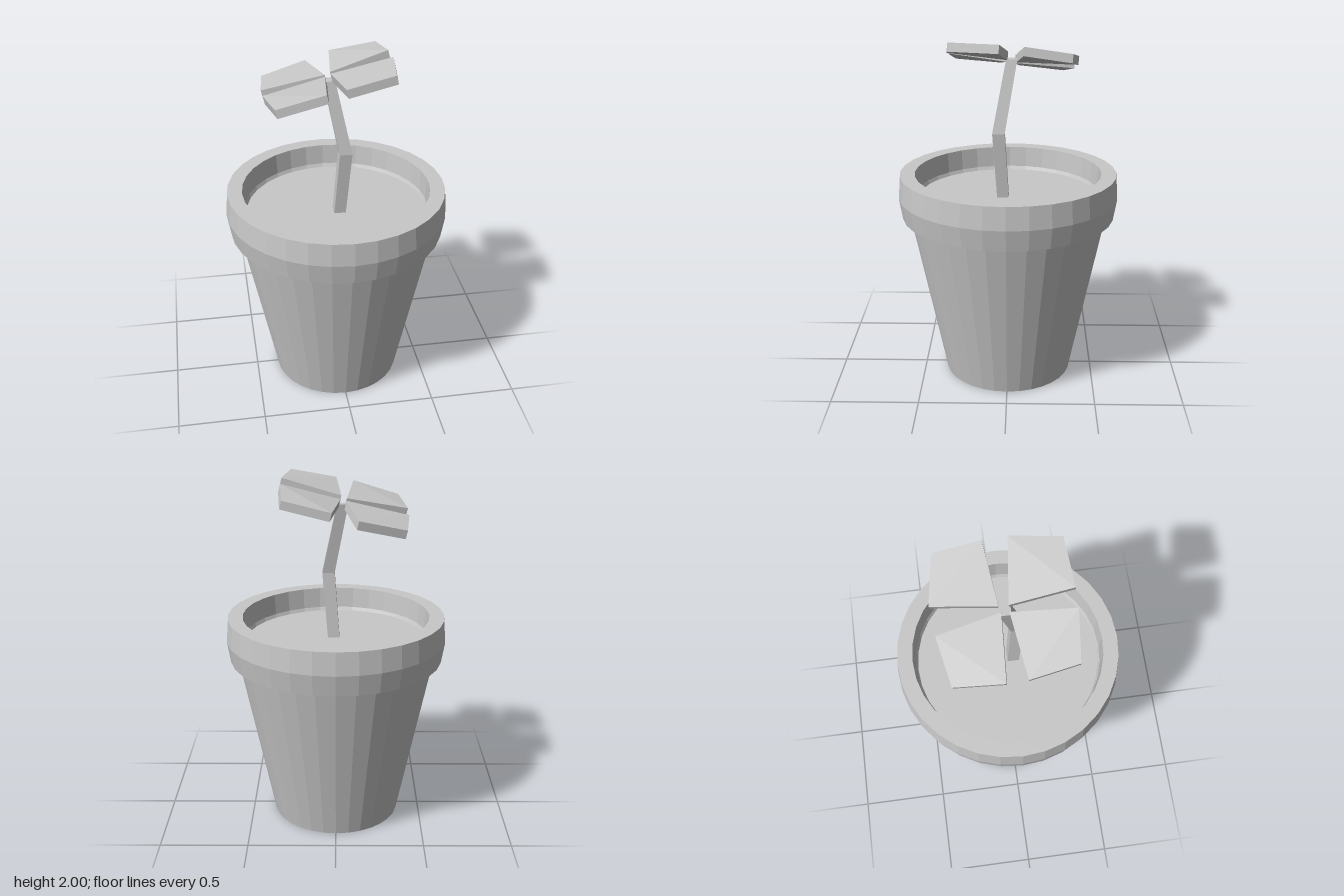
import * as THREE from 'three';
import { ConvexGeometry } from 'three/addons/geometries/ConvexGeometry.js';

const V = (x, y, z) => new THREE.Vector3(x, y, z);

export function createModel() {
  const model = new THREE.Group();
  const clay = new THREE.MeshStandardMaterial({ color: 0xc8c8c8 });

  const add = (name, geometry, parent = model) => {
    const mesh = new THREE.Mesh(geometry, clay);
    mesh.name = name;
    parent.add(mesh);
    return mesh;
  };

  // Faceted surface of revolution
  const facetedLathe = (profile) => {
    const g = new THREE.LatheGeometry(profile.map(([r, y]) => new THREE.Vector2(r, y)), 32).toNonIndexed();
    g.computeVertexNormals();
    return g;
  };

  // Pot: tapered body with a closed foot
  add('potBody', facetedLathe([[0, 0], [0.37, 0], [0.565, 0.97]]));

  // Rim: overhanging collar with a slightly bulging outside and an inner lip
  add('potRim', facetedLathe([
    [0.565, 0.97], [0.61, 0.97], [0.63, 1.09], [0.62, 1.22],
    [0.535, 1.22], [0.525, 1.1], [0.515, 1.08],
  ]));

  // Soil
  add('soil', facetedLathe([[0.515, 1.08], [0, 1.08]]));

  // Stem: square sections along a bent path
  const stem = new THREE.Group();
  stem.name = 'stem';
  model.add(stem);
  const path = [[0.012, 1.06, 0.028], [0.043, 1.46, 0.053], [-0.036, 1.865, -0.02]];
  const halfWidths = [0.033, 0.035, 0.031];
  const section = (i) => [[-1, -1], [1, -1], [1, 1], [-1, 1]].map(([sx, sz]) =>
    V(path[i][0] + sx * halfWidths[i], path[i][1], path[i][2] + sz * halfWidths[i]));
  for (let i = 0; i < 2; i++) {
    add(i ? 'upperStem' : 'lowerStem', new ConvexGeometry([...section(i), ...section(i + 1)]), stem);
  }

  // Leaves: four thick quads; each row is a top corner, starting at the stem
  const leaves = {
    leafFrontLeft: [[-0.03, 1.905, 0], [0.3, 1.995, 0.04], [0.26, 2, 0.31], [0, 1.95, 0.335]],
    leafBackLeft: [[-0.025, 1.895, -0.05], [0.3, 1.985, -0.09], [0.28, 1.945, -0.345], [0.02, 1.89, -0.39]],
    leafBackRight: [[-0.055, 1.885, -0.04], [-0.12, 1.845, -0.375], [-0.375, 1.785, -0.325], [-0.4, 1.81, -0.06]],
    leafFrontRight: [[-0.06, 1.89, 0], [-0.4, 1.825, 0.05], [-0.36, 1.855, 0.31], [-0.1, 1.93, 0.335]],
  };
  const thickness = 0.048;
  for (const [name, corners] of Object.entries(leaves)) {
    const top = corners.map((c) => V(...c));
    // Average normal from the two diagonals, pointing up
    const normal = top[2].clone().sub(top[0]).cross(top[3].clone().sub(top[1])).normalize();
    if (normal.y < 0) normal.negate();
    const bottom = top.map((p) => p.clone().addScaledVector(normal, -thickness));
    add(name, new ConvexGeometry([...top, ...bottom]));
  }

  return model;
}
